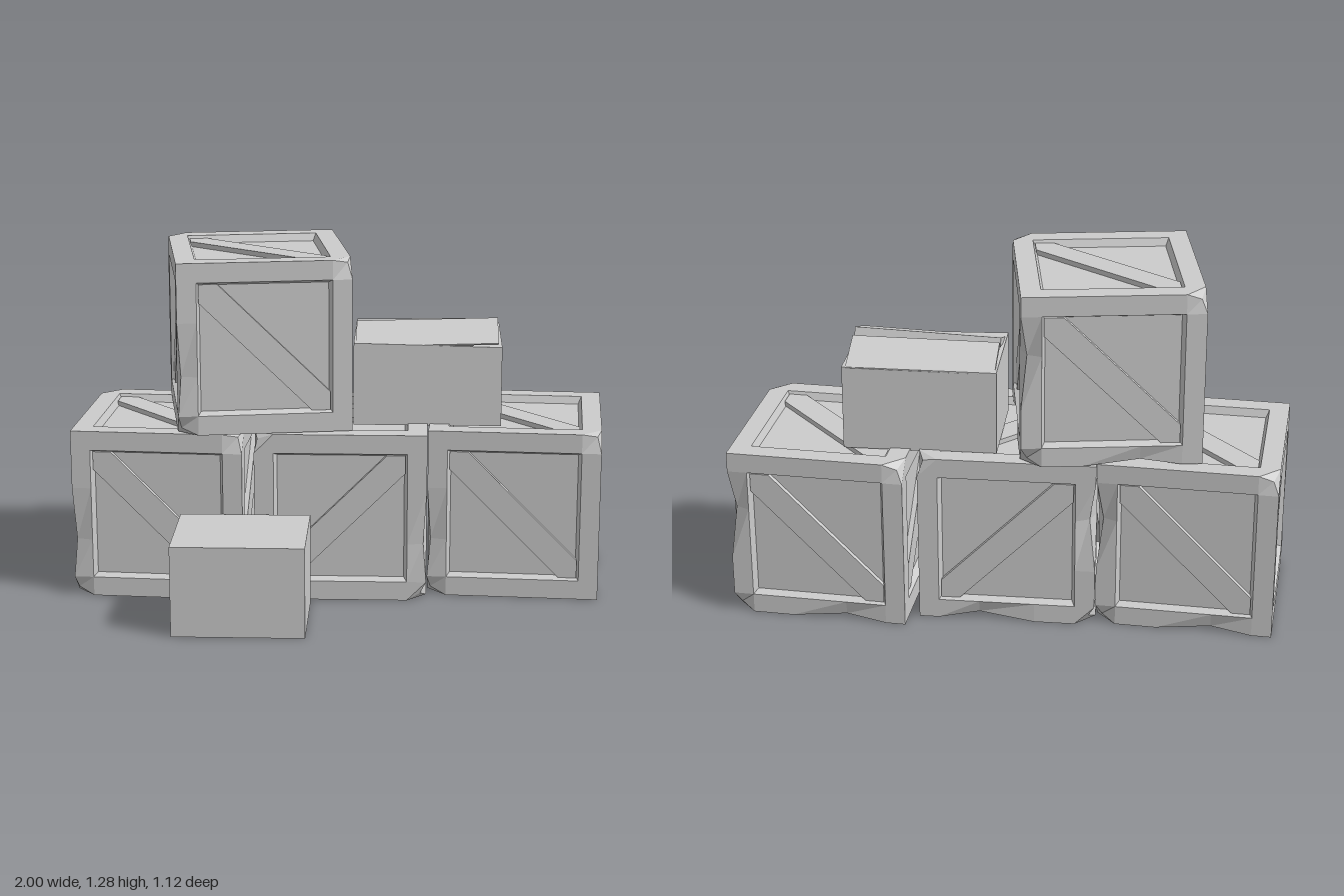
import * as THREE from 'three';

const mat = new THREE.MeshStandardMaterial({ color: 0xcccccc, flatShading: true });
const matDouble = new THREE.MeshStandardMaterial({ color: 0xcccccc, flatShading: true, side: THREE.DoubleSide });

const H = 0.319;      // crate half size
const O = 0.247;      // half size of the opening in each face
const DEPTH = 0.028;  // recess depth
const LINES = [-H, -O, -0.1, 0.1, O, H];

function addMesh(parent, name, geometry, material = mat) {
  const mesh = new THREE.Mesh(geometry, material);
  mesh.name = name;
  parent.add(mesh);
  return mesh;
}

// Worn spots: grid position (0..5 per axis) and inward shift
const WEAR = [
  [[5, 3, 0], [-0.022, 0, 0.022]],
  [[5, 0, 3], [-0.016, 0.024, 0]],
  [[0, 0, 5], [0.012, 0.026, -0.022]],
  [[5, 0, 0], [-0.022, 0.028, 0.022]],
  [[5, 5, 5], [-0.016, -0.012, -0.02]],
  [[0, 5, 0], [0.02, -0.022, 0.012]],
  [[0, 2, 5], [0.012, 0, -0.012]],
  [[2, 0, 0], [0, 0.018, 0.014]],
];

// Outer frame: a box grid with the middle of every face left out
function frameGeometry() {
  const box = new THREE.BoxGeometry(5, 5, 5, 5, 5, 5);
  const pos = box.attributes.position;
  const index = box.index.array;
  const kept = [];
  for (let i = 0; i < index.length; i += 6) {
    const cell = Math.floor(i / 6) % 25;
    const col = cell % 5, row = Math.floor(cell / 5);
    if (col > 0 && col < 4 && row > 0 && row < 4) continue;
    for (let k = 0; k < 6; k++) kept.push(index[i + k]);
  }
  const v = new THREE.Vector3();
  for (let i = 0; i < pos.count; i++) {
    const g = [pos.getX(i), pos.getY(i), pos.getZ(i)].map((c) => Math.round(c + 2.5));
    v.set(LINES[g[0]], LINES[g[1]], LINES[g[2]]);
    for (const [at, shift] of WEAR) {
      if (at.every((c, k) => c === g[k])) v.add(new THREE.Vector3(...shift));
    }
    pos.setXYZ(i, v.x, v.y, v.z);
  }
  box.setIndex(kept);
  const flat = box.toNonIndexed();
  flat.computeVertexNormals();
  return flat;
}

// Sloped lip between frame and panel
function lipGeometry() {
  const inner = O - 0.012;
  const lip = new THREE.CylinderGeometry(O * Math.SQRT2, inner * Math.SQRT2, DEPTH, 4, 1, true);
  return lip.rotateY(Math.PI / 4).rotateX(Math.PI / 2).translate(0, 0, H - DEPTH / 2);
}

// Diagonal plank, cut to the corners of the opening
function braceGeometry() {
  const a = O - 0.008, w = 0.068;
  const points = [[-a, a], [-a, a - w], [a - w, -a], [a, -a], [a, -a + w], [-a + w, a]];
  const shape = new THREE.Shape(points.map(([x, y]) => new THREE.Vector2(x, y)));
  return new THREE.ExtrudeGeometry(shape, { depth: 0.018, bevelEnabled: false })
    .translate(0, 0, H - DEPTH);
}

const FRAME = frameGeometry();
const LIP = lipGeometry();
const BRACE = braceGeometry();
const PANEL = new THREE.PlaneGeometry(2 * O, 2 * O).translate(0, 0, H - DEPTH);

function createCrate(name, x, y, z, turn) {
  const crate = new THREE.Group();
  crate.name = name;
  addMesh(crate, 'frame', FRAME);
  const q = Math.PI / 2;
  // Rotation of each face, and whether its plank leans the other way
  const faces = [
    ['front', 0, 0, false], ['back', 0, 2 * q, false],
    ['left', 0, q, true], ['right', 0, -q, true],
    ['top', -q, 0, false], ['bottom', q, 0, false],
  ];
  for (const [side, rx, ry, flip] of faces) {
    const face = new THREE.Group();
    face.name = side + 'Face';
    face.rotation.set(rx, ry, 0);
    addMesh(face, 'panel', PANEL);
    addMesh(face, 'lip', LIP, matDouble);
    addMesh(face, 'brace', BRACE).rotation.z = flip ? q : 0;
    crate.add(face);
  }
  crate.position.set(x, y, z);
  crate.rotation.y = turn;
  return crate;
}

// Cardboard box with two half-open flaps
function createOpenBox() {
  const box = new THREE.Group();
  box.name = 'openBox';
  const body = new THREE.BoxGeometry(0.55, 0.31, 0.39);
  const pos = body.attributes.position;
  for (let i = 0; i < pos.count; i++) {
    if (pos.getY(i) < 0) continue;
    pos.setZ(i, pos.getZ(i) * 0.96);
    if (pos.getX(i) > 0 && pos.getZ(i) > 0) pos.setY(i, pos.getY(i) - 0.012);
  }
  addMesh(box, 'body', body).position.set(0.318, 0.787, -0.217);

  const flap = (name, dir, length, thick, z, tilt, roll) => {
    const slab = new THREE.BoxGeometry(0.53, thick, length).translate(0, -thick / 2, dir * length / 2);
    const p = slab.attributes.position;
    // Slabs thin out towards the fold
    for (let i = 0; i < p.count; i++) {
      if (Math.abs(p.getZ(i)) < 0.01 && p.getY(i) < -0.001) p.setY(i, -0.006);
    }
    const mesh = addMesh(box, name, slab);
    mesh.position.set(0.315, 0.938, z);
    mesh.rotation.set(tilt, 0, roll);
  };
  flap('frontFlap', -1, 0.175, 0.035, -0.03, 0.36, 0.035);
  flap('backFlap', 1, 0.175, 0.02, -0.405, -0.32, 0.01);
  return box;
}

export function createModel() {
  const model = new THREE.Group();
  model.name = 'crateStack';
  model.add(
    createCrate('rightCrate', -0.66, H, -0.17, -0.063),
    createCrate('middleCrate', 0, H, -0.17, Math.PI / 2),
    createCrate('leftCrate', 0.66, H, -0.22, -0.063),
    createCrate('topCrate', -0.322, 3 * H + 0.004, -0.165, 0.157),
    createOpenBox(),
  );
  addMesh(model, 'smallBox', new THREE.BoxGeometry(0.48, 0.336, 0.39)).position.set(-0.35, 0.168, 0.365);
  return model;
}
